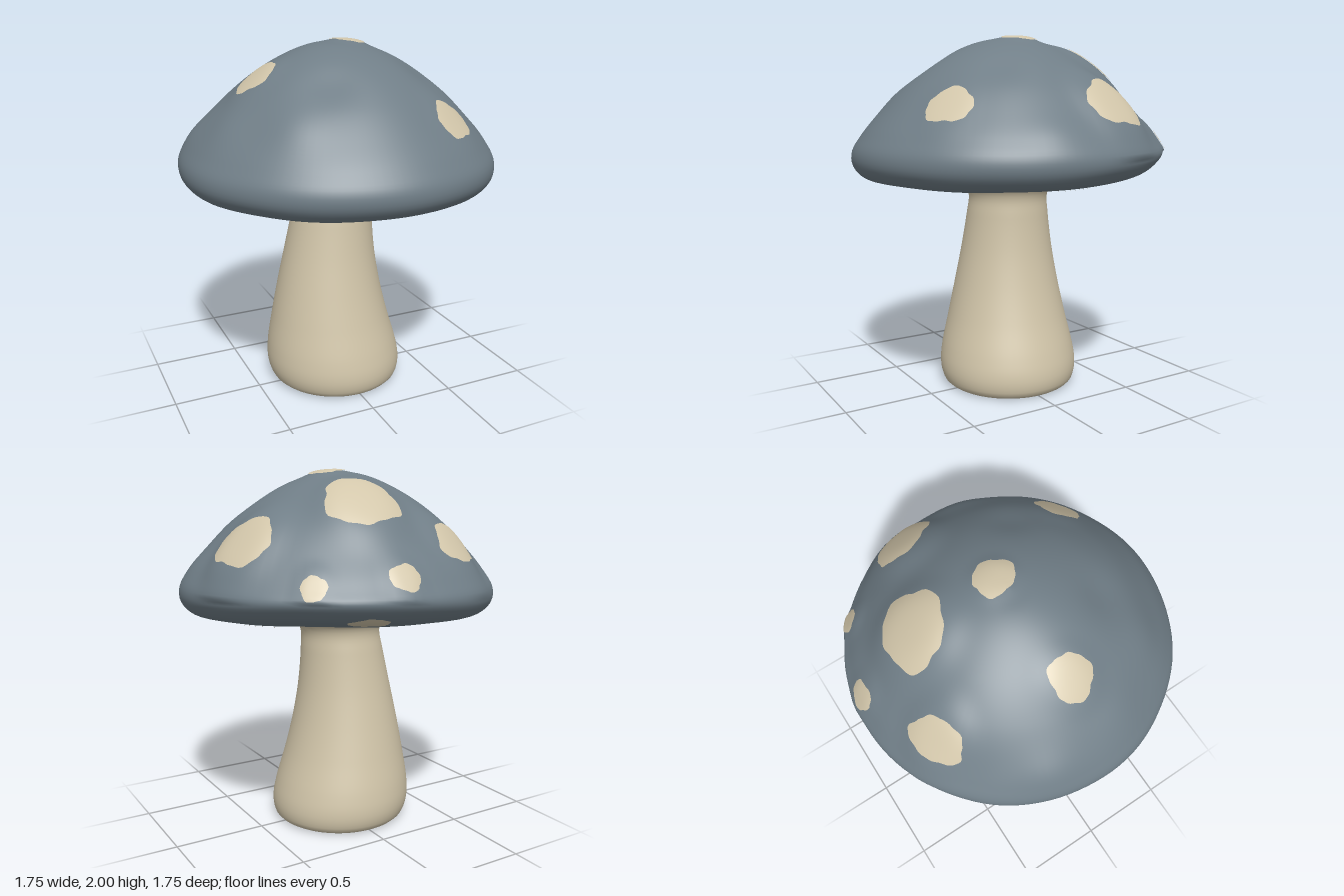
import * as THREE from 'three';
import { mergeVertices } from 'three/addons/utils/BufferGeometryUtils.js';

const capMat = new THREE.MeshStandardMaterial({ color: 0x707e87 });
capMat.name = 'slateGrey';
const creamMat = new THREE.MeshStandardMaterial({ color: 0xd2c6aa });
creamMat.name = 'cream';

const spline = (pts) => new THREE.CatmullRomCurve3(
  pts.map(([r, y]) => new THREE.Vector3(r, y, 0)), false, 'centripetal');

// Cap section (radius, height), from the crown over the rim to the underside
const capCurve = spline([
  [0, 1.982], [0.12, 1.972], [0.26, 1.927], [0.42, 1.842], [0.58, 1.715], [0.72, 1.57],
  [0.82, 1.45], [0.872, 1.36], [0.868, 1.285], [0.81, 1.222], [0.68, 1.193],
  [0.5, 1.176], [0.3, 1.168], [0, 1.168],
]);
capCurve.arcLengthDivisions = 800;
const capLength = capCurve.getLength();

// Spots: x, z, half width around the cap, half width along the slope, swelling
const topSpots = [
  [-0.32, -0.615, 0.145, 0.125, 0.022],
  [0.11, -0.8, 0.08, 0.075, 0.01],
  [0.52, -0.66, 0.062, 0.075, 0.012],
  [0.13, -0.445, 0.19, 0.185, 0.035],
  [0.65, -0.215, 0.17, 0.155, 0.035],
  [0.08, -0.025, 0.1, 0.095, 0.012],
  [-0.465, 0.035, 0.105, 0.125, 0.012],
  [0.39, 0.56, 0.125, 0.115, 0.008],
];
const underSpots = [
  [0.5, -0.04, 0.25, 0.2],
  [-0.06, 0.64, 0.13, 0.11],
  [0.26, -0.73, 0.1, 0.06],
  [-0.04, -0.42, 0.07, 0.07],
  [-0.36, -0.05, 0.34, 0.15],
];
// Plain lumps and dents: x, y, z, radius, height
const lumps = [
  [-0.2, 1.83, 0.4, 0.14, -0.02], [0.37, 1.82, 0.25, 0.13, -0.015],
  [0.78, 1.47, 0.2, 0.14, 0.012], [-0.45, 1.65, 0.52, 0.15, 0.014],
  [-0.76, 1.5, -0.25, 0.16, 0.02], [-0.7, 1.58, 0.2, 0.14, 0.014],
  [-0.55, 1.5, -0.62, 0.15, -0.012],
];

// Pushes a point of the plain cap out along its normal to give the lumpy form
function displace(p, n) {
  let d = 0.004 * Math.sin(p.x * 7 + 1) * Math.sin(p.z * 8 + p.y * 5);
  if (n.y > 0.1) {
    for (const [x, z, w, l, h] of topSpots) {
      const q = Math.hypot(p.x - x, p.z - z) / (Math.max(w, l) * 1.15);
      d += h * Math.exp(-(q ** 4));
    }
  }
  for (const [x, y, z, r, h] of lumps) {
    const q = Math.hypot(p.x - x, p.y - y, p.z - z) / r;
    d += h * Math.exp(-q * q);
  }
  const out = p.clone().addScaledVector(n, d);
  // The rim is lifted a little at the back left
  const toward = Math.max(0, p.x * 0.5 - p.z * 0.87);
  out.y += 0.08 * toward * toward * THREE.MathUtils.smoothstep(1.42 - p.y, 0, 0.18);
  return out;
}

// Point on the lumpy cap: u runs along the section, phi around it
function capPoint(u, phi, lift = 0) {
  const t = THREE.MathUtils.clamp(u, 0, 1);
  const c = capCurve.getPointAt(t);
  const g = capCurve.getTangentAt(t);
  const s = Math.sin(phi), k = Math.cos(phi);
  const n = new THREE.Vector3(-g.y * s, g.x, -g.y * k);
  return displace(new THREE.Vector3(c.x * s, c.y, c.x * k), n).addScaledVector(n, lift);
}

// Welds seams and gives smooth normals
function smooth(geometry) {
  geometry.deleteAttribute('normal');
  geometry.deleteAttribute('uv');
  const g = mergeVertices(geometry, 1e-5);
  g.computeVertexNormals();
  return g;
}

function makeCap() {
  const rows = 100, sides = 112;
  const profile = [];
  for (let j = 0; j <= rows; j++) {
    const p = capCurve.getPointAt(1 - j / rows);
    profile.push(new THREE.Vector2(p.x, p.y));
  }
  const g = new THREE.LatheGeometry(profile, sides);
  const pos = g.attributes.position;
  for (let i = 0; i < pos.count; i++) {
    const j = i % (rows + 1), k = Math.floor(i / (rows + 1)) % sides;
    const p = capPoint(1 - j / rows, (k / sides) * Math.PI * 2);
    pos.setXYZ(i, p.x, p.y, p.z);
  }
  return new THREE.Mesh(smooth(g), capMat);
}

// A ragged disc wrapped onto the cap, measured from the nearer pole
function makeSpot([x, z, w, l], under, seed) {
  const r0 = Math.hypot(x, z), phi0 = Math.atan2(x, z);
  let t = 0;
  while (t < 0.6 && capCurve.getPointAt(under ? 1 - t : t).x < r0) t += 0.002;
  const s0 = t * capLength;
  const g = new THREE.RingGeometry(0.001, 1, 56, 9);
  const pos = g.attributes.position;
  for (let i = 0; i < pos.count; i++) {
    const px = pos.getX(i), py = pos.getY(i);
    const a = Math.atan2(py, px);
    const wob = 1 + 0.06 * Math.sin(3 * a + seed) + 0.045 * Math.sin(5 * a + seed * 2.3)
      + 0.02 * Math.sin(11 * a + seed * 4);
    const across = (px * w * wob * s0 / r0) * (under ? 1 : -1);
    const along = s0 + py * l * wob;
    const u = Math.hypot(across, along) / capLength;
    const p = capPoint(under ? 1 - u : u, phi0 + Math.atan2(across, along), 0.005);
    pos.setXYZ(i, p.x, p.y, p.z);
  }
  return new THREE.Mesh(smooth(g), creamMat);
}

// Leaning stem with a swollen foot and a flared neck
function makeStem() {
  const curve = spline([
    [0.345, 0], [0.375, 0.02], [0.394, 0.07], [0.398, 0.13], [0.386, 0.22], [0.345, 0.4],
    [0.302, 0.6], [0.264, 0.8], [0.235, 1.0], [0.226, 1.1], [0.245, 1.15], [0.3, 1.18],
  ]);
  const profile = curve.getSpacedPoints(60).map((p) => new THREE.Vector2(p.x, p.y));
  const g = new THREE.LatheGeometry(profile, 64);
  const pos = g.attributes.position;
  for (let i = 0; i < pos.count; i++) {
    const bend = Math.sin((Math.PI * pos.getY(i)) / 1.2);
    pos.setX(i, pos.getX(i) - 0.005 - 0.037 * bend);
    pos.setZ(i, pos.getZ(i) - 0.013 - 0.007 * bend);
  }
  const stem = new THREE.Mesh(smooth(g), creamMat);
  stem.name = 'stem';
  const base = new THREE.Mesh(new THREE.CircleGeometry(0.345, 64), creamMat);
  base.name = 'stemBase';
  base.rotation.x = Math.PI / 2;
  base.position.set(-0.005, 0, -0.013);
  return [stem, base];
}

export function createModel() {
  const model = new THREE.Group();
  model.name = 'mushroom';
  const cap = makeCap();
  cap.name = 'cap';
  model.add(cap, ...makeStem());
  topSpots.forEach((s, i) => {
    const spot = makeSpot(s, false, i * 1.7 + 0.4);
    spot.name = `topSpot${i + 1}`;
    model.add(spot);
  });
  underSpots.forEach((s, i) => {
    const spot = makeSpot(s, true, i * 2.1 + 1);
    spot.name = `undersideSpot${i + 1}`;
    model.add(spot);
  });
  return model;
}
